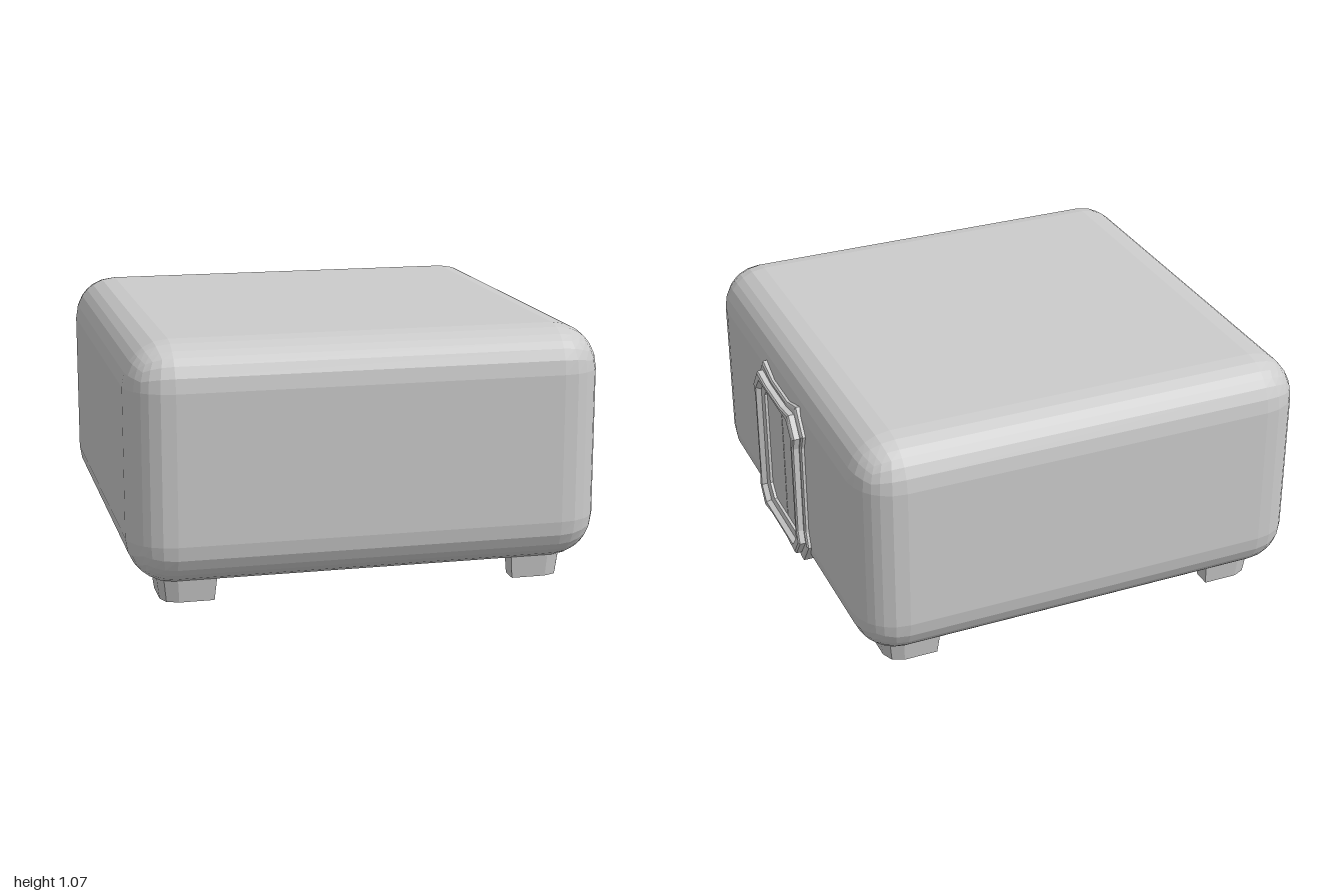
import * as THREE from 'three';
import { RoundedBoxGeometry } from 'three/addons/geometries/RoundedBoxGeometry.js';

const material = new THREE.MeshStandardMaterial({ color: 0xcccccc, flatShading: true });
const CX = -0.025;     // body centre in x
const HATCH_Y = 0.54;  // hatch centre height

function addMesh(parent, name, geometry) {
  const mesh = new THREE.Mesh(geometry, material);
  mesh.name = name;
  parent.add(mesh);
  return mesh;
}

// Mirrors a quarter outline (side to top) into a full counter-clockwise loop
function fullLoop(quarter) {
  const flip = (sx, sy) => quarter.map(([u, v]) => [u * sx, v * sy]);
  return [...flip(1, 1), ...flip(-1, 1).reverse(), ...flip(-1, -1), ...flip(1, -1).reverse()];
}

// Skins successive loops; each ring is { x, q } facing +x
function loftRings(rings) {
  const loops = rings.map(({ x, q }) =>
    fullLoop(q).map(([u, v]) => [x, HATCH_Y + v, -u]));
  const pos = [];
  for (let k = 0; k < loops.length - 1; k++) {
    const a = loops[k], b = loops[k + 1];
    for (let i = 0; i < a.length; i++) {
      const j = (i + 1) % a.length;
      pos.push(...a[i], ...a[j], ...b[j], ...a[i], ...b[j], ...b[i]);
    }
  }
  const g = new THREE.BufferGeometry();
  g.setAttribute('position', new THREE.Float32BufferAttribute(pos, 3));
  g.computeVertexNormals();
  return g;
}

// L-shaped corner foot, narrowing towards the floor
function footGeometry() {
  const o = 0.86, i = 0.615, t = 0.09, c = 0.08, h = 0.14;
  const s = new THREE.Shape();
  s.moveTo(i, o - t);
  s.lineTo(o - t - 0.03, o - t);
  s.lineTo(o - t, o - t - 0.03);
  s.lineTo(o - t, i);
  s.lineTo(o, i);
  s.lineTo(o, o - c);
  s.lineTo(o - c * 0.3, o - c * 0.3);
  s.lineTo(o - c, o);
  s.lineTo(i, o);
  const g = new THREE.ExtrudeGeometry(s, { depth: h, bevelEnabled: false });
  g.rotateX(-Math.PI / 2);
  const p = g.attributes.position, mid = 0.72;
  for (let n = 0; n < p.count; n++) {
    const k = 0.87 + 0.13 * Math.min(1, p.getY(n) / h);
    p.setX(n, mid + (p.getX(n) - mid) * k);
    p.setZ(n, -mid + (p.getZ(n) + mid) * k);
  }
  g.computeVertexNormals();
  return g;
}

// One half of the recessed door panel, with clipped outer corners
function panelGeometry() {
  const w = 0.215, h = 0.285, c = 0.055, gap = 0.003;
  const s = new THREE.Shape();
  s.moveTo(gap, -h);
  s.lineTo(w - c, -h);
  s.lineTo(w, -h + c);
  s.lineTo(w, h - c);
  s.lineTo(w - c, h);
  s.lineTo(gap, h);
  const g = new THREE.ExtrudeGeometry(s, { depth: 0.03, bevelEnabled: false });
  return g.rotateY(Math.PI / 2);
}

export function createModel() {
  const model = new THREE.Group();
  model.name = 'roundedCrate';

  // Main body
  const body = addMesh(model, 'body', new RoundedBoxGeometry(1.954, 0.984, 1.954, 3, 0.185));
  body.position.set(CX, 0.575, 0);

  // Four corner feet
  const feet = new THREE.Group();
  feet.name = 'feet';
  feet.position.x = CX;
  model.add(feet);
  const foot = footGeometry();
  for (let n = 0; n < 4; n++) {
    addMesh(feet, 'foot', foot).rotation.y = n * Math.PI / 2;
  }

  // Hatch on the side: flared back plate, raised rim, recessed doors
  const hatch = new THREE.Group();
  hatch.name = 'hatch';
  model.add(hatch);

  const plate = [[0.27, 0.205], [0.295, 0.27], [0.22, 0.375], [0.1, 0.34]];
  const plateInner = [[0.262, 0.203], [0.286, 0.266], [0.216, 0.364], [0.1, 0.332]];
  const rim = [[0.254, 0.2], [0.272, 0.255], [0.21, 0.338], [0.1, 0.322]];
  const rimFront = [[0.248, 0.198], [0.264, 0.25], [0.206, 0.33], [0.1, 0.316]];
  const rimInner = [[0.235, 0.195], [0.235, 0.245], [0.185, 0.305], [0.1, 0.305]];
  const ledge = [[0.226, 0.19], [0.226, 0.238], [0.178, 0.297], [0.1, 0.297]];
  const opening = [[0.2, 0.18], [0.2, 0.222], [0.148, 0.275], [0.1, 0.275]];
  addMesh(hatch, 'hatchFrame', loftRings([
    { x: 0.9, q: plate },
    { x: 0.964, q: plate },
    { x: 0.97, q: plateInner },
    { x: 0.97, q: rim },
    { x: 0.994, q: rim },
    { x: 1.0, q: rimFront },
    { x: 1.0, q: rimInner },
    { x: 0.978, q: ledge },
    { x: 0.972, q: opening },
    { x: 0.945, q: opening },
  ]));

  const panel = panelGeometry();
  for (const turn of [0, Math.PI]) {
    const door = addMesh(hatch, 'hatchDoor', panel);
    door.position.set(0.93, HATCH_Y, 0);
    door.rotation.x = turn;
  }

  return model;
}
